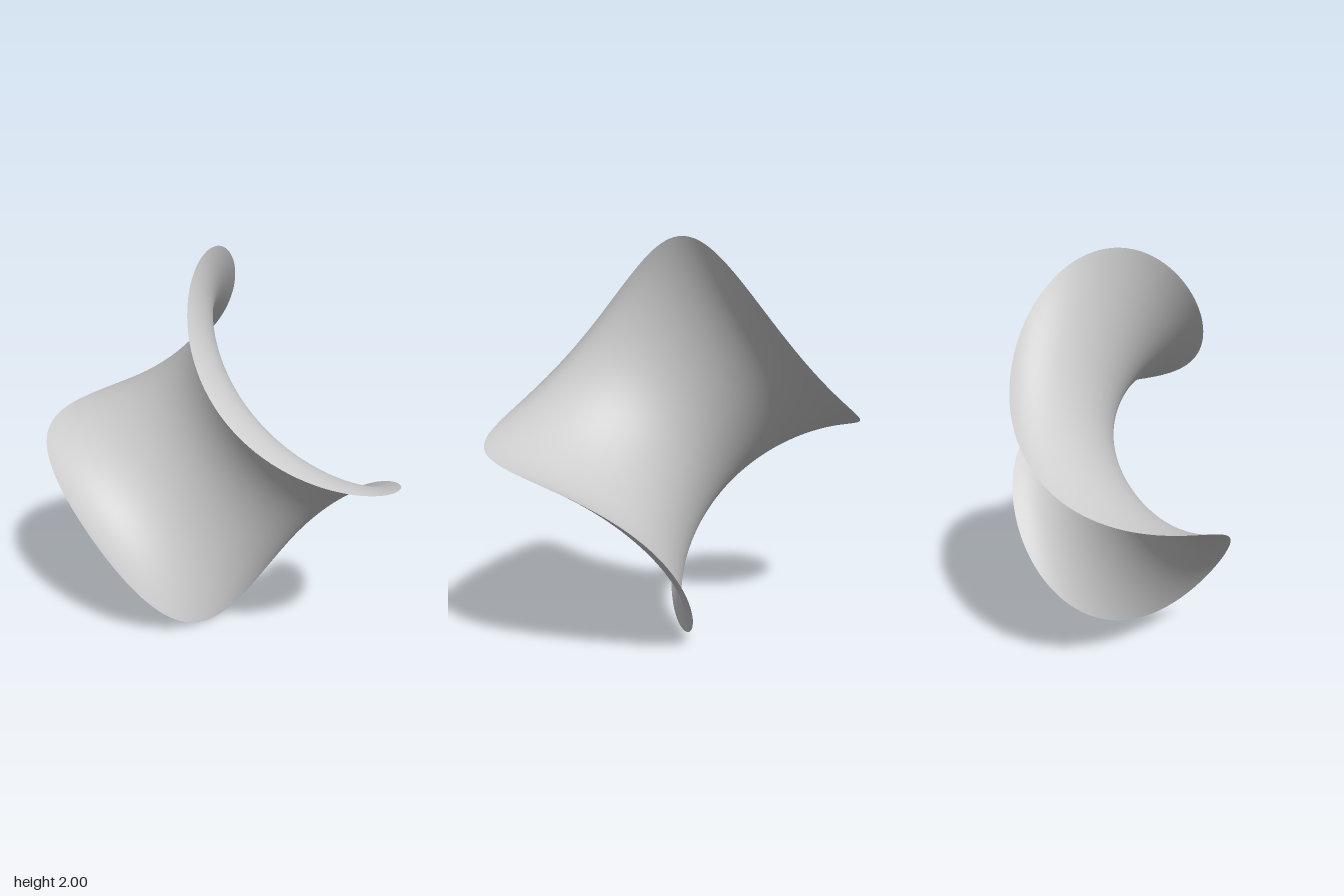
import * as THREE from 'three';
import { mergeVertices } from 'three/addons/utils/BufferGeometryUtils.js';

// Point of the saddle at radius r (0..1) and angle a, centred on the origin.
// The threefold term draws the rim into four points on the axes and
// curls the lobes between them forward and backward in turn.
function saddlePoint(r, a) {
  const A = 0.785 * r;
  const B = 0.205 * r ** 5;
  const C = 0.01 * r ** 5;
  return [
    A * Math.cos(a) + B * Math.cos(3 * a) + C * Math.cos(5 * a),
    A * Math.sin(a) - B * Math.sin(3 * a) + C * Math.sin(5 * a),
    0.513 * r * r * Math.sin(2 * a),
  ];
}

export function createModel() {
  const group = new THREE.Group();
  group.name = 'saddleSurface';

  // Polar sheet: u runs round the centre, v from the centre to the rim
  let geometry = new THREE.PlaneGeometry(1, 1, 192, 64);
  const pos = geometry.attributes.position;
  for (let i = 0; i < pos.count; i++) {
    const angle = (pos.getX(i) + 0.5) * Math.PI * 2;
    const radius = 0.5 - pos.getY(i);
    pos.setXYZ(i, ...saddlePoint(radius, angle));
  }

  // Weld the seam and the centre so the shading is smooth throughout
  geometry.deleteAttribute('uv');
  geometry.deleteAttribute('normal');
  geometry = mergeVertices(geometry, 1e-5);
  geometry.computeVertexNormals();

  const material = new THREE.MeshStandardMaterial({ color: 0xcccccc, side: THREE.DoubleSide });
  const sheet = new THREE.Mesh(geometry, material);
  sheet.name = 'curledSaddleSheet';
  sheet.position.y = 1;
  group.add(sheet);
  return group;
}
